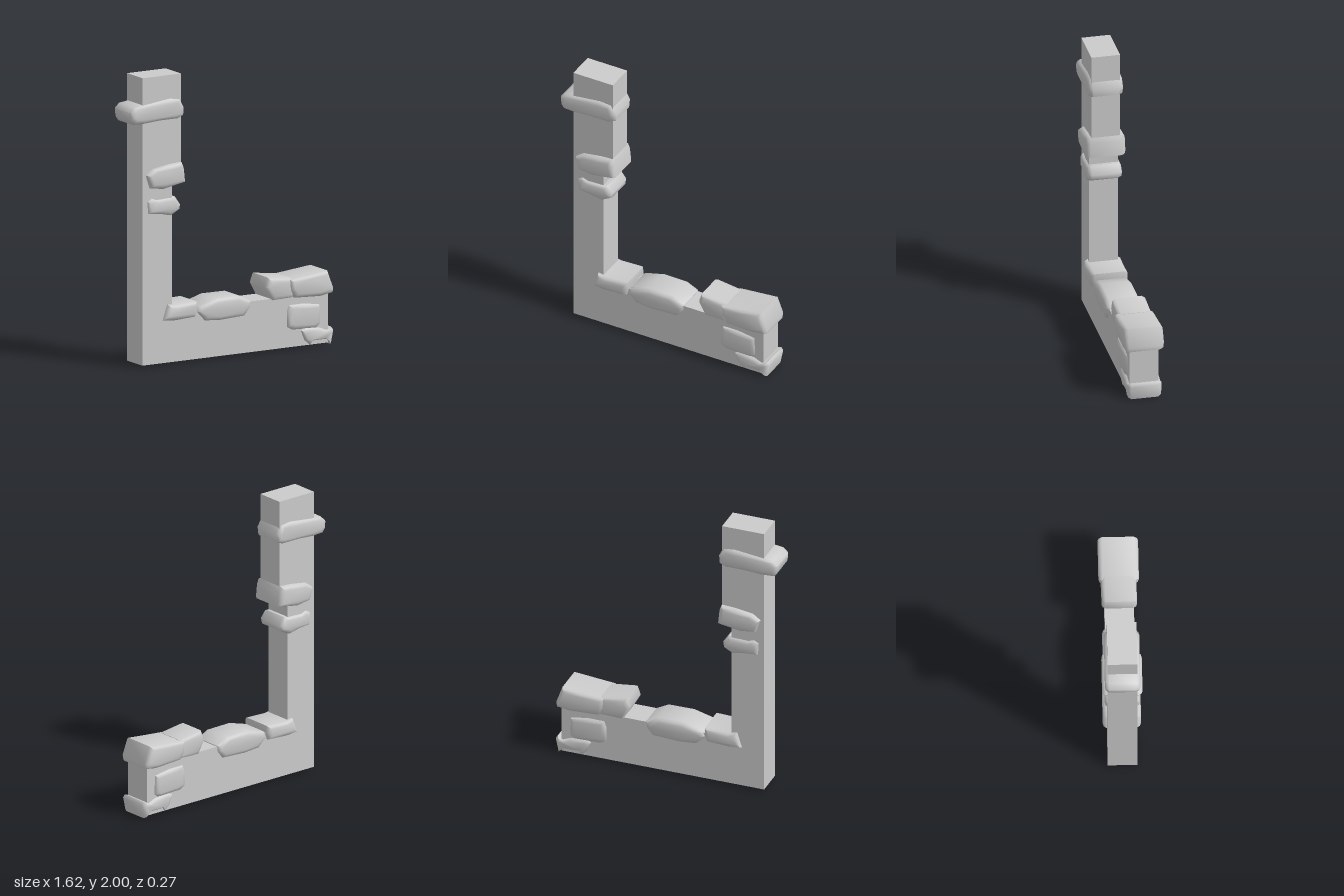
import * as THREE from 'three';
import { toCreasedNormals } from 'three/addons/utils/BufferGeometryUtils.js';

const BASE = 0.015; // height of the wall's open lower edge

// L-shaped wall slab, open underneath
function wallGeometry() {
  const outline = [[-0.71, BASE], [0.76, BASE], [0.76, 0.365], [-0.475, 0.365],
    [-0.475, 1.3], [-0.405, 1.3], [-0.405, 2], [-0.71, 2]];
  const shape = new THREE.Shape(outline.map(([x, y]) => new THREE.Vector2(x, y)));
  const solid = new THREE.ExtrudeGeometry(shape, { depth: 0.2, bevelEnabled: false });
  solid.translate(0, 0, -0.1);
  const p = solid.attributes.position;
  const kept = [];
  for (let i = 0; i < p.count; i += 3) {
    const isBottom = [0, 1, 2].every((k) => Math.abs(p.getY(i + k) - BASE) < 1e-4);
    if (isBottom) continue;
    for (let k = 0; k < 3; k++) kept.push(p.getX(i + k), p.getY(i + k), p.getZ(i + k));
  }
  const geometry = new THREE.BufferGeometry();
  geometry.setAttribute('position', new THREE.Float32BufferAttribute(kept, 3));
  geometry.computeVertexNormals();
  return geometry;
}

// Worn stone: a front outline lofted through the wall, with softened rims
function stoneGeometry(outline, halfDepth) {
  const pts = outline.map(([x, y]) => new THREE.Vector2(x, y));
  if (THREE.ShapeUtils.isClockWise(pts)) pts.reverse();
  const box = new THREE.Box2().setFromPoints(pts);
  const c = box.getCenter(new THREE.Vector2());
  const half = box.getSize(new THREE.Vector2()).multiplyScalar(0.5);
  const d = halfDepth;
  const rings = [[-d, 0.03], [-d + 0.007, 0.011], [-d + 0.028, 0],
    [d - 0.028, 0], [d - 0.007, 0.011], [d, 0.03]]; // [z, inset]
  const n = pts.length;
  const pos = [];
  const index = [];
  for (const [z, inset] of rings) {
    for (const q of pts) {
      pos.push(c.x + (q.x - c.x) * (1 - inset / half.x), c.y + (q.y - c.y) * (1 - inset / half.y), z);
    }
  }
  for (let r = 0; r < rings.length - 1; r++) {
    for (let i = 0; i < n; i++) {
      const a = r * n + i;
      const b = r * n + (i + 1) % n;
      index.push(a, b, b + n, a, b + n, a + n);
    }
  }
  // back and front faces
  const last = (rings.length - 1) * n;
  for (const [i, j, k] of THREE.ShapeUtils.triangulateShape(pts, [])) {
    index.push(last + i, last + j, last + k, k, j, i);
  }
  const geometry = new THREE.BufferGeometry();
  geometry.setAttribute('position', new THREE.Float32BufferAttribute(pos, 3));
  geometry.setIndex(index);
  return toCreasedNormals(geometry, 0.95);
}

// Front outlines of the stones, with half their depth
const STONES = {
  pillarTopStone: [0.12, [[-0.81, 1.77], [-0.775, 1.805], [-0.7, 1.815], [-0.495, 1.84], [-0.415, 1.83],
    [-0.38, 1.765], [-0.385, 1.71], [-0.425, 1.69], [-0.575, 1.69], [-0.705, 1.68], [-0.785, 1.685], [-0.805, 1.715]]],
  pillarMiddleStone: [0.137, [[-0.685, 1.325], [-0.63, 1.365], [-0.495, 1.385], [-0.405, 1.39],
    [-0.39, 1.35], [-0.38, 1.25], [-0.55, 1.22], [-0.655, 1.235]]],
  pillarLowerStone: [0.12, [[-0.675, 1.145], [-0.64, 1.165], [-0.6, 1.15], [-0.45, 1.155], [-0.41, 1.1],
    [-0.415, 1.065], [-0.485, 1.025], [-0.57, 1.045], [-0.67, 1.055]]],
  cornerStone: [0.13, [[-0.515, 0.418], [-0.46, 0.408], [-0.285, 0.415], [-0.28, 0.36],
    [-0.295, 0.31], [-0.47, 0.3], [-0.55, 0.31]]],
  ledgeStone: [0.12, [[-0.27, 0.375], [-0.125, 0.417], [0.06, 0.415], [0.145, 0.37], [0.145, 0.33],
    [0.1, 0.27], [-0.1, 0.26], [-0.22, 0.27], [-0.283, 0.34]]],
  slantedStone: [0.12, [[0.283, 0.515], [0.475, 0.49], [0.485, 0.355], [0.315, 0.35], [0.26, 0.45]]],
  endCapStone: [0.137, [[0.447, 0.485], [0.6, 0.5], [0.75, 0.515], [0.795, 0.39], [0.79, 0.36],
    [0.695, 0.345], [0.485, 0.355], [0.45, 0.415]]],
  endMiddleStone: [0.12, [[0.43, 0.265], [0.447, 0.31], [0.565, 0.31], [0.695, 0.29], [0.7, 0.15],
    [0.67, 0.125], [0.475, 0.13], [0.43, 0.155]]],
  endFootStone: [0.12, [[0.54, 0.125], [0.575, 0.14], [0.695, 0.13], [0.75, 0.105], [0.79, 0.12],
    [0.805, 0.1], [0.785, 0], [0.75, 0.04], [0.625, 0.04], [0.61, 0.015], [0.57, 0.05]]],
};

export function createModel() {
  const model = new THREE.Group();
  model.name = 'ruinedWall';
  const material = new THREE.MeshStandardMaterial({ color: 0xcccccc, side: THREE.DoubleSide });
  const add = (name, geometry) => {
    const mesh = new THREE.Mesh(geometry, material);
    mesh.name = name;
    model.add(mesh);
  };
  add('wall', wallGeometry());
  for (const [name, [halfDepth, outline]] of Object.entries(STONES)) {
    add(name, stoneGeometry(outline, halfDepth));
  }
  return model;
}
